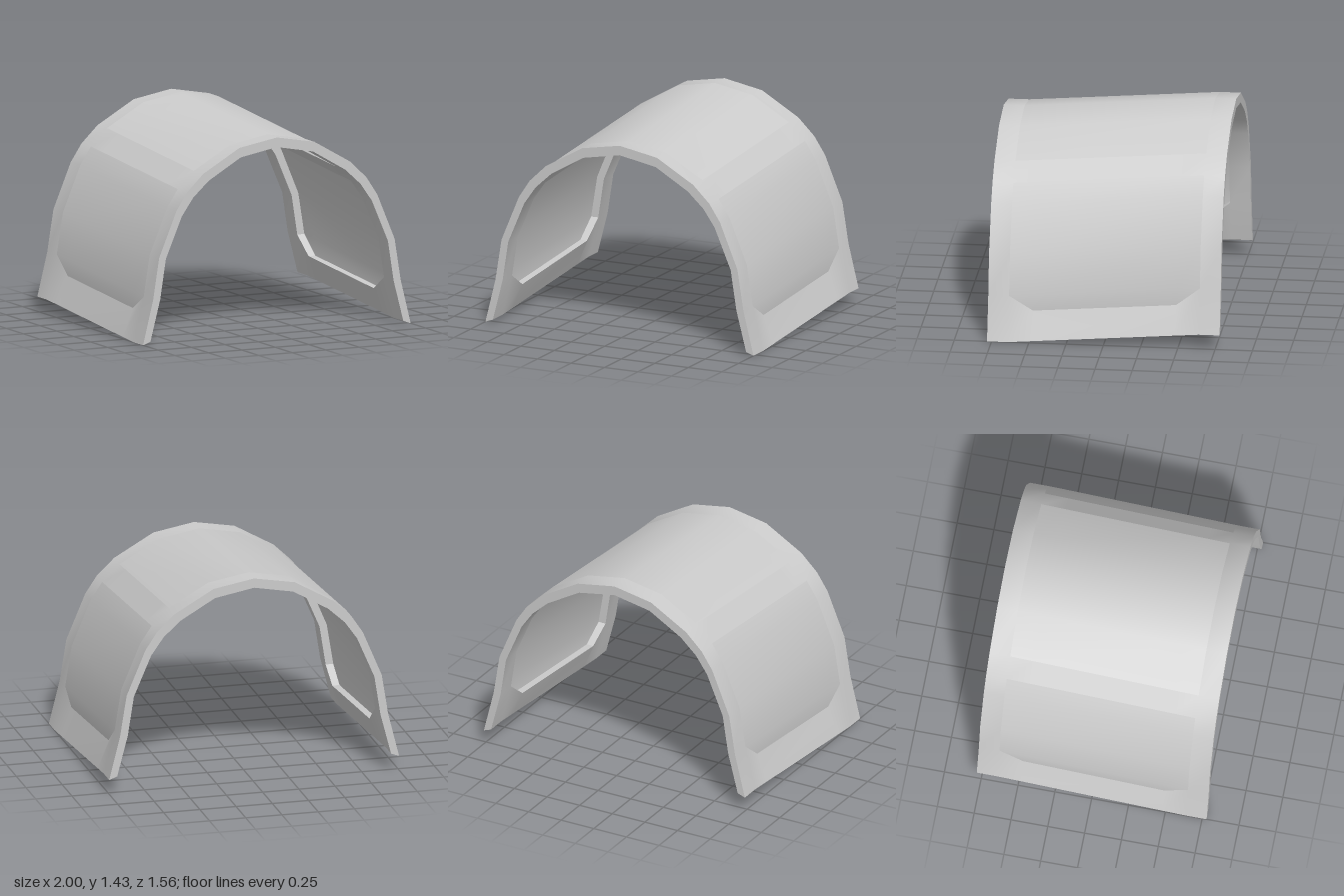
import * as THREE from 'three';
import { mergeVertices } from 'three/addons/utils/BufferGeometryUtils.js';

// Half profiles from the foot at +x up to the crown
const OUTER = [[1, 0], [0.925, 0.19], [0.925, 0.3], [0.88, 0.58], [0.75, 0.89], [0.67, 1.01], [0.55, 1.125], [0.28, 1.28], [0, 1.33]];
const INNER = [[0.945, 0.02], [0.875, 0.19], [0.872, 0.3], [0.83, 0.57], [0.71, 0.85], [0.625, 0.97], [0.51, 1.075], [0.27, 1.215], [0, 1.265]];
const Z = [0.78, 0.64, 0.48, -0.48, -0.64, -0.78];
const ROWS = 16, COLS = 5;

// Surface point at row j (foot to foot) and column k (front to back)
function point(half, j, k) {
  const mirrored = j > 8;
  let i = mirrored ? ROWS - j : j;
  // The sill row folds into the row above outside the panel: chamfered corners
  if (i === 1 && (k < 2 || k > 3)) i = 2;
  const rise = 0.1 * THREE.MathUtils.clamp((0.64 - Z[k]) / 1.28, 0, 1);
  return [mirrored ? -half[i][0] : half[i][0], half[i][1] + rise, Z[k]];
}

// Panel openings as ranges of rows
const PANELS = { leftPanel: [1, 5], roofPanel: [6, 10], rightPanel: [11, 15] };
const inPanel = (j, k, [from, to]) => j >= from && j < to && k >= 1 && k <= 3;
const isFrame = (j, k) => j >= 0 && j < ROWS && k >= 0 && k < COLS &&
  !Object.values(PANELS).some((range) => inPanel(j, k, range));

const corners = (j, k) => [[j, k], [j, k + 1], [j + 1, k + 1], [j + 1, k]];

function makeMesh(name, quads, smooth, side = THREE.FrontSide) {
  const positions = [];
  for (const [a, b, c, d] of quads) positions.push(...a, ...b, ...c, ...a, ...c, ...d);
  let geometry = new THREE.BufferGeometry();
  geometry.setAttribute('position', new THREE.Float32BufferAttribute(positions, 3));
  if (smooth) geometry = mergeVertices(geometry, 1e-4);
  geometry.computeVertexNormals();
  const mesh = new THREE.Mesh(geometry, new THREE.MeshStandardMaterial({ color: 0xcccccc, side, flatShading: !smooth }));
  mesh.name = name;
  return mesh;
}

// Quads of all cells that pass the test, on one skin
function skin(half, test, flip = false) {
  const quads = [];
  for (let j = 0; j < ROWS; j++) {
    for (let k = 0; k < COLS; k++) {
      if (!test(j, k)) continue;
      const quad = corners(j, k).map(([r, c]) => point(half, r, c));
      quads.push(flip ? quad.reverse() : quad);
    }
  }
  return quads;
}

// Walls joining both skins along rims and openings
function rims() {
  const quads = [];
  const neighbours = [[-1, 0], [0, 1], [1, 0], [0, -1]];
  for (let j = 0; j < ROWS; j++) {
    for (let k = 0; k < COLS; k++) {
      if (!isFrame(j, k)) continue;
      const ring = corners(j, k);
      neighbours.forEach(([dj, dk], e) => {
        if (isFrame(j + dj, k + dk)) return;
        const p = ring[e], q = ring[(e + 1) % 4];
        const op = point(OUTER, ...p), oq = point(OUTER, ...q);
        if (op.every((v, n) => Math.abs(v - oq[n]) < 1e-6)) return;
        quads.push([op, point(INNER, ...p), point(INNER, ...q), oq]);
      });
    }
  }
  return quads;
}

export function createModel() {
  const model = new THREE.Group();
  model.name = 'archedCanopy';

  // Frame with three openings
  const frame = new THREE.Group();
  frame.name = 'frame';
  frame.add(
    makeMesh('frameOuterSkin', skin(OUTER, isFrame), true),
    makeMesh('frameInnerSkin', skin(INNER, isFrame, true), true),
    makeMesh('frameRims', rims(), false),
  );
  model.add(frame);

  // Thin panels flush with the outer skin
  for (const [name, range] of Object.entries(PANELS)) {
    model.add(makeMesh(name, skin(OUTER, (j, k) => inPanel(j, k, range)), true, THREE.DoubleSide));
  }
  return model;
}
